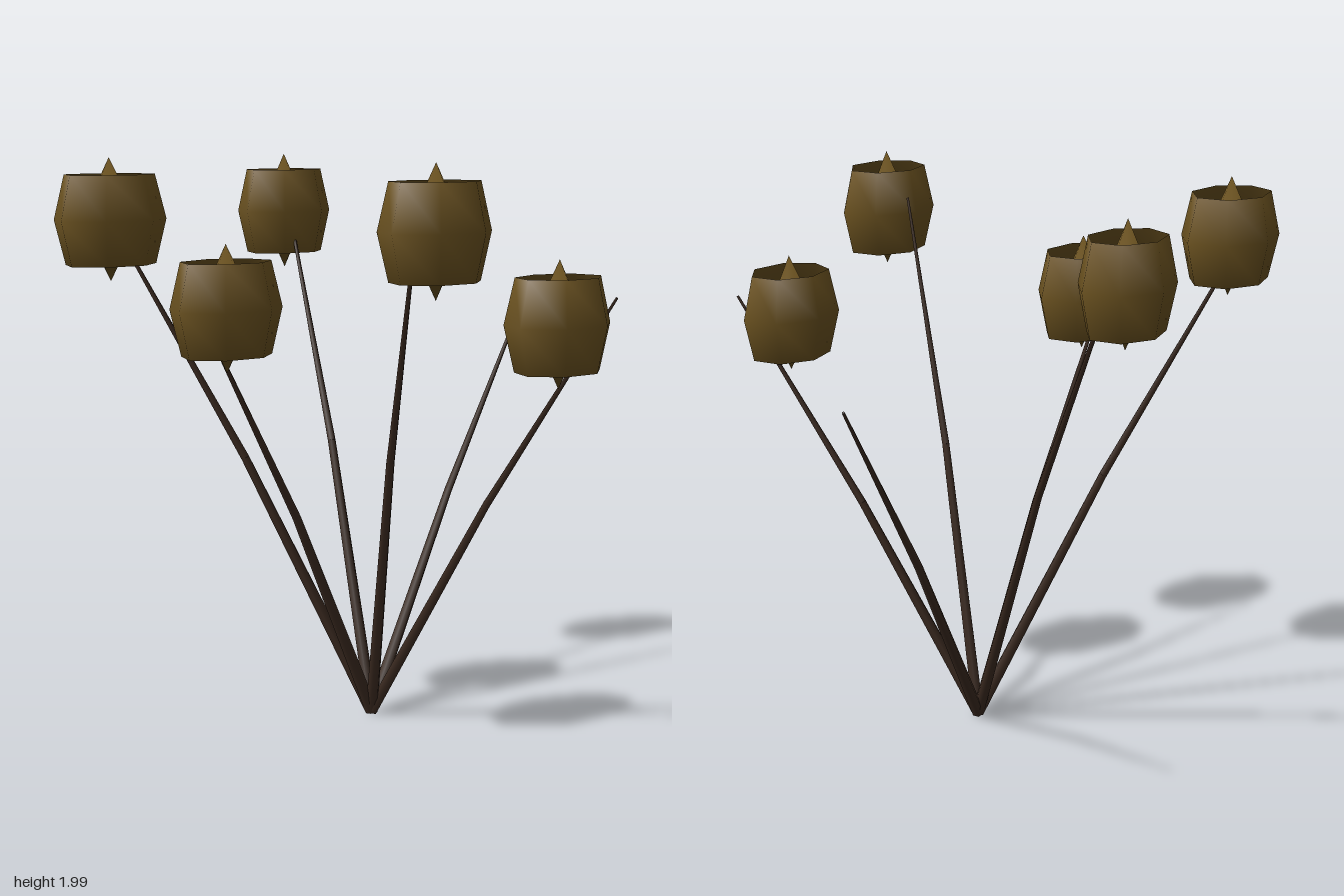
import * as THREE from 'three';

const podMaterial = new THREE.MeshStandardMaterial({ color: 0x6b5220 });
podMaterial.name = 'dry ochre';
const stemMaterial = new THREE.MeshStandardMaterial({ color: 0x3b2a20 });
stemMaterial.name = 'dark bark';

// Seven-sided pod: flat rims, sunken ends and a pointed spike at each pole
function podGeometry() {
  const rows = [[0, 0.215], [0.095, 0.04], [0.177, 0.157], [0.22, 0],
    [0.177, -0.157], [0.095, -0.04], [0, -0.215]];
  const sides = 7;
  const geometry = new THREE.SphereGeometry(1, sides, rows.length - 1);
  const p = geometry.attributes.position;
  for (let i = 0; i < p.count; i++) {
    const [r, y] = rows[Math.floor(i / (sides + 1))];
    const a = (i % (sides + 1)) / sides * Math.PI * 2;
    p.setXYZ(i, -Math.cos(a) * r, y, Math.sin(a) * r * 0.76);
  }
  return geometry;
}

// Tapered stem section between two points
function stemSection(from, to, r0, r1) {
  const dir = to.clone().sub(from);
  const mesh = new THREE.Mesh(new THREE.CylinderGeometry(r1, r0, dir.length(), 6), stemMaterial);
  mesh.name = 'stemSection';
  mesh.position.copy(from).addScaledVector(dir, 0.5);
  mesh.quaternion.setFromUnitVectors(new THREE.Vector3(0, 1, 0), dir.normalize());
  return mesh;
}

export function createModel() {
  const model = new THREE.Group();
  model.name = 'driedPodStems';
  const base = new THREE.Vector3(-0.097, 0.012, -0.025);

  // Bend and tip of each stem
  const stems = [
    [[0.41, 0.75, -0.075], [0.935, 1.43, -0.12]],
    [[-0.29, 0.97, 0.225], [-0.48, 1.845, 0.5]],
    [[-0.35, 0.93, -0.4], [-0.625, 1.8, -0.8]],
    [[0.06, 0.95, -0.35], [0.225, 1.8, -0.71]],
    [[-0.42, 0.76, -0.09], [-0.8, 1.5, -0.17]],
    [[0.02, 0.8, 0.4], [0.11, 1.54, 0.87]],
  ];
  for (const [bend, tip] of stems) {
    const stem = new THREE.Group();
    stem.name = 'stem';
    const b = new THREE.Vector3(...bend), t = new THREE.Vector3(...tip);
    stem.add(stemSection(base, b, 0.023, 0.015), stemSection(b, t, 0.015, 0.005));
    model.add(stem);
  }

  // Pods: centre and girth
  const geometry = podGeometry();
  const pods = [
    [-0.59, 1.78, 0.66, 0.98],
    [-0.685, 1.78, -0.72, 1.02],
    [0.26, 1.78, -0.765, 0.93],
    [-0.73, 1.505, -0.115, 0.99],
    [-0.06, 1.457, 0.757, 0.98],
  ];
  for (const [x, y, z, girth] of pods) {
    const pod = new THREE.Mesh(geometry, podMaterial);
    pod.name = 'seedPod';
    pod.position.set(x, y, z);
    pod.scale.set(girth, 1, girth);
    model.add(pod);
  }
  return model;
}
